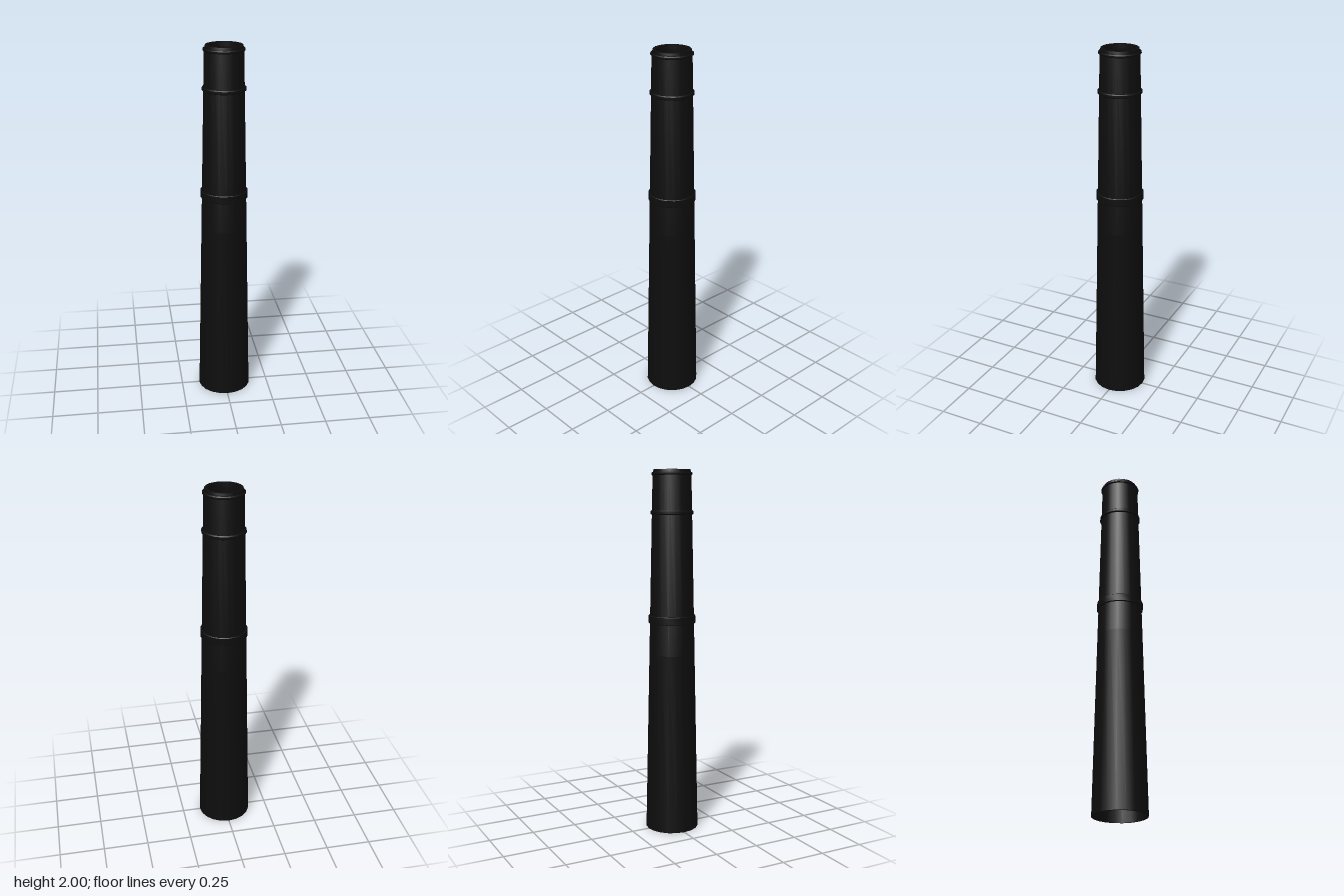
import * as THREE from 'three';
import { toCreasedNormals } from 'three/addons/utils/BufferGeometryUtils.js';

const SIDES = 20;

// Outer wall radius at height y
const wall = (y) => 0.148 - 0.0215 * y;

export function createModel() {
  const group = new THREE.Group();
  const material = new THREE.MeshStandardMaterial({ color: 0x0d0d0d });

  // Turns a closed [radius, height] profile around the y axis
  function turned(name, profile) {
    const points = profile.map(([r, y]) => new THREE.Vector2(r, y));
    points.push(points[0].clone());
    const mesh = new THREE.Mesh(toCreasedNormals(new THREE.LatheGeometry(points, SIDES), 0.6), material);
    mesh.name = name;
    group.add(mesh);
  }

  // Hollow tapering shaft, open at both ends
  turned('shaft', [
    [0.138, 0], [0.148, 0], [wall(1), 1], [wall(1.975), 1.975],
    [0.1, 2], [0.085, 2], [0.085, 1.975],
  ]);

  // Collar: a bevelled ring that hugs the shaft
  function collar(name, y, height, radius, bevel) {
    const h = height / 2;
    const inner = wall(y) - 0.004;
    turned(name, [
      [inner, y - h], [radius - bevel, y - h], [radius, y - h + bevel],
      [radius, y + h - bevel], [radius - bevel, y + h], [inner, y + h],
    ]);
  }
  collar('middleCollar', 1.192, 0.044, 0.13, 0.003);
  collar('upperCollar', 1.772, 0.022, 0.118, 0.005);
  collar('topCollar', 1.977, 0.016, 0.112, 0.005);

  return group;
}
